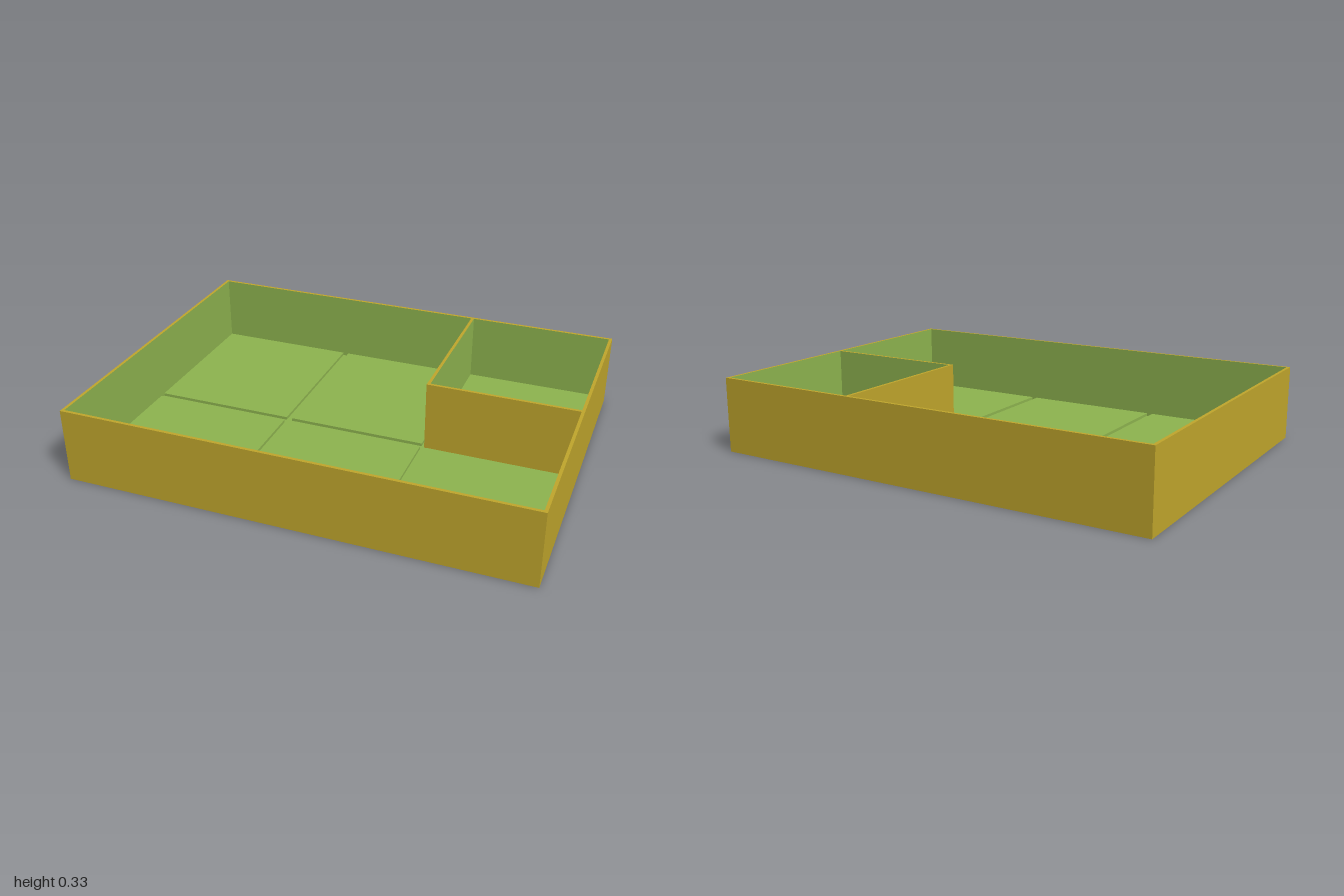
import * as THREE from 'three';

// Overall size, wall thickness and floor levels
const W = 2, D = 1.49, H = 0.33, T = 0.0135;
const BASE = 0.0135, TILE = 0.027;

export function createModel() {
  const model = new THREE.Group();
  model.name = 'tray';
  const gold = new THREE.MeshStandardMaterial({ color: 0xc0a62c });
  gold.name = 'gold outside';
  const green = new THREE.MeshStandardMaterial({ color: 0x8eb44f });
  green.name = 'green inside';

  // Box given by its limits; faces listed in greenFaces are green, the rest gold
  const sides = ['+x', '-x', '+y', '-y', '+z', '-z'];
  function box(name, x0, x1, y0, y1, z0, z1, greenFaces) {
    const geometry = new THREE.BoxGeometry(x1 - x0, y1 - y0, z1 - z0);
    const materials = sides.map((s) => (greenFaces.includes(s) ? green : gold));
    const mesh = new THREE.Mesh(geometry, materials);
    mesh.position.set((x0 + x1) / 2, (y0 + y1) / 2, (z0 + z1) / 2);
    mesh.name = name;
    model.add(mesh);
  }

  const x = W / 2, z = D / 2, xi = x - T, zi = z - T;

  // Base slab, seen as green at the bottom of the grooves
  box('base', -xi, xi, 0, BASE, -zi, zi, ['+y']);

  // Outer walls, green on the inside
  box('frontWall', -x, x, 0, H, zi, z, ['-z']);
  box('backWall', -x, x, 0, H, -z, -zi, ['+z']);
  box('leftWall', xi, x, 0, H, -zi, zi, ['-x']);
  box('rightWall', -x, -xi, 0, H, -zi, zi, ['+x']);

  // Six floor tiles separated by narrow grooves
  const split = 0.327;
  const columns = [[-xi, -split - T], [-split + T, split - T], [split + T, xi]];
  const rows = [[-zi, -T], [T, zi]];
  for (const [x0, x1] of columns) {
    for (const [z0, z1] of rows) {
      box('floorTile', x0, x1, BASE, TILE, z0, z1, sides);
    }
  }

  // Full-height walls closing off the back corner compartment
  const wallZ = -0.006;
  box('compartmentSideWall', split, split + T, BASE, H, -zi, wallZ, ['+x']);
  box('compartmentFrontWall', split + T, xi, BASE, H, wallZ - T, wallZ, ['-z']);

  return model;
}
